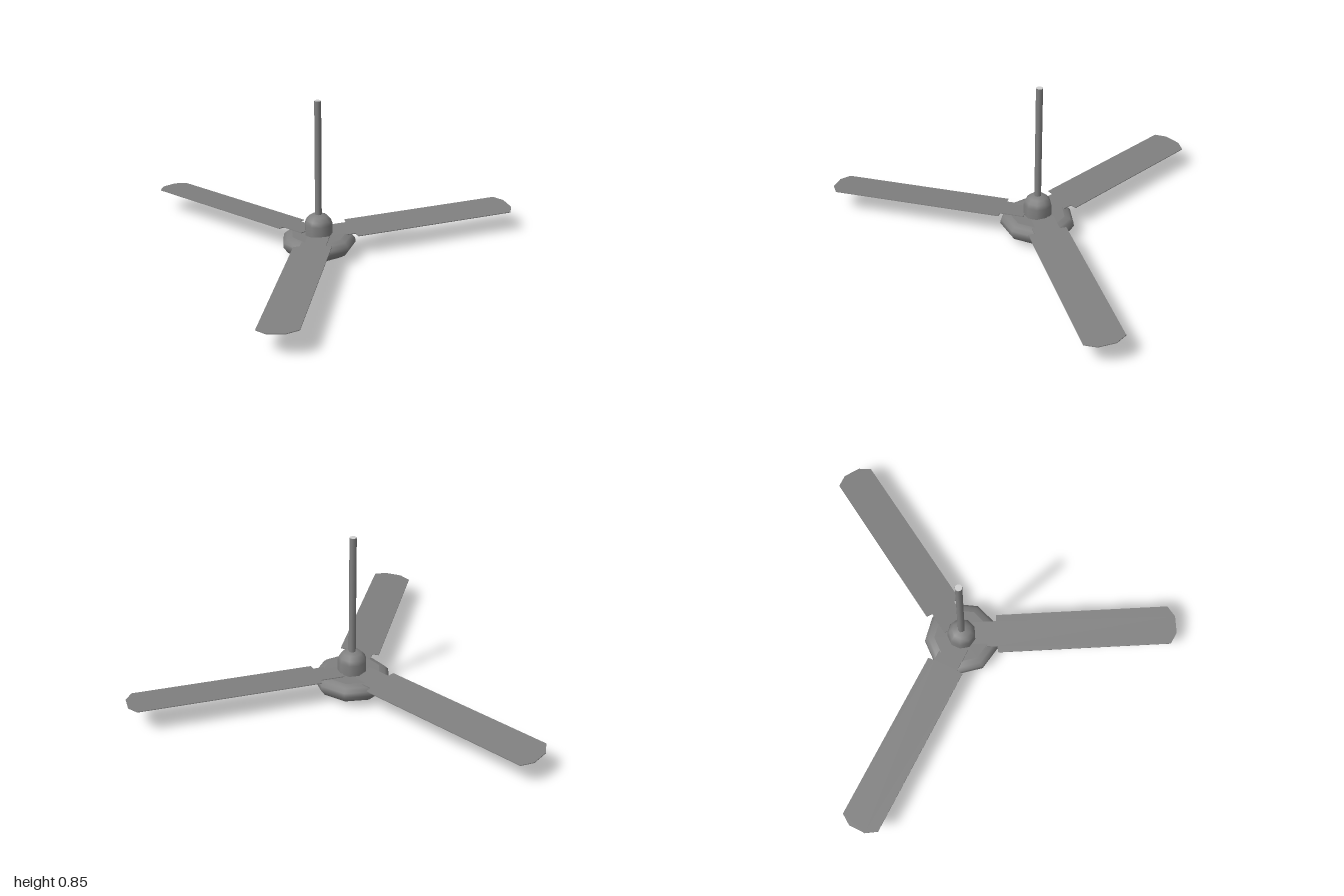
import * as THREE from 'three';

const SIDES = 9;

export function createModel() {
  const model = new THREE.Group();
  model.name = 'ceilingFan';

  const mat = (name, color) => {
    const m = new THREE.MeshStandardMaterial({ color });
    m.name = name;
    return m;
  };
  const grey = mat('fanGrey', 0x808080);
  const pale = mat('paleEnd', 0xd0d0d0);

  // everything turns about the hub axis
  const fan = new THREE.Group();
  fan.name = 'fan';
  fan.position.set(-0.1, 0, -0.155);
  model.add(fan);

  const add = (name, geometry, material, y = 0) => {
    const mesh = new THREE.Mesh(geometry, material);
    mesh.name = name;
    mesh.position.y = y;
    fan.add(mesh);
    return mesh;
  };
  // repeated profile points make a crisp edge
  const turned = (profile) => new THREE.LatheGeometry(
    profile.map(([r, y]) => new THREE.Vector2(r, y)), SIDES, Math.PI / 2);

  // motor bowl
  add('motorBowl', turned([
    [0.085, 0.003], [0.135, 0.016], [0.175, 0.04], [0.197, 0.072],
    [0.193, 0.095], [0.175, 0.113], [0.145, 0.122], [0.145, 0.122], [0, 0.122],
  ]), grey);

  // flat disc under the bowl
  add('bottomDisc', turned([[0, 0], [0.082, 0], [0.082, 0], [0.085, 0.003]]), pale);

  // domed collar above the blades
  add('collar', turned([
    [0.074, 0.115], [0.074, 0.18], [0.066, 0.203], [0.048, 0.222], [0.022, 0.231], [0, 0.232],
  ]), grey);

  // hanging rod with its end
  add('rod', new THREE.CylinderGeometry(0.018, 0.018, 0.63, SIDES, 1, true), grey, 0.535);
  const end = new THREE.CircleGeometry(0.018, SIDES);
  end.rotateX(-Math.PI / 2);
  add('rodEnd', end, pale, 0.85);

  // blade: narrow neck, straight sides and a clipped tip, slightly pitched
  const half = [[0.06, 0.068], [0.184, 0.068], [0.187, 0.101], [1.096, 0.101], [1.132, 0.045]];
  const outline = [
    ...half.map(([r, w]) => [r, -w]),
    ...half.slice().reverse(),
  ].map(([r, w]) => new THREE.Vector2(r, w));
  const blade = new THREE.ExtrudeGeometry(new THREE.Shape(outline), { depth: 0.004, bevelEnabled: false });
  blade.rotateX(-Math.PI / 2 + 0.08);
  for (let i = 0; i < 3; i++) {
    add('blade' + (i + 1), blade, grey, 0.122).rotation.y = -THREE.MathUtils.degToRad(101 + i * 120);
  }

  return model;
}
